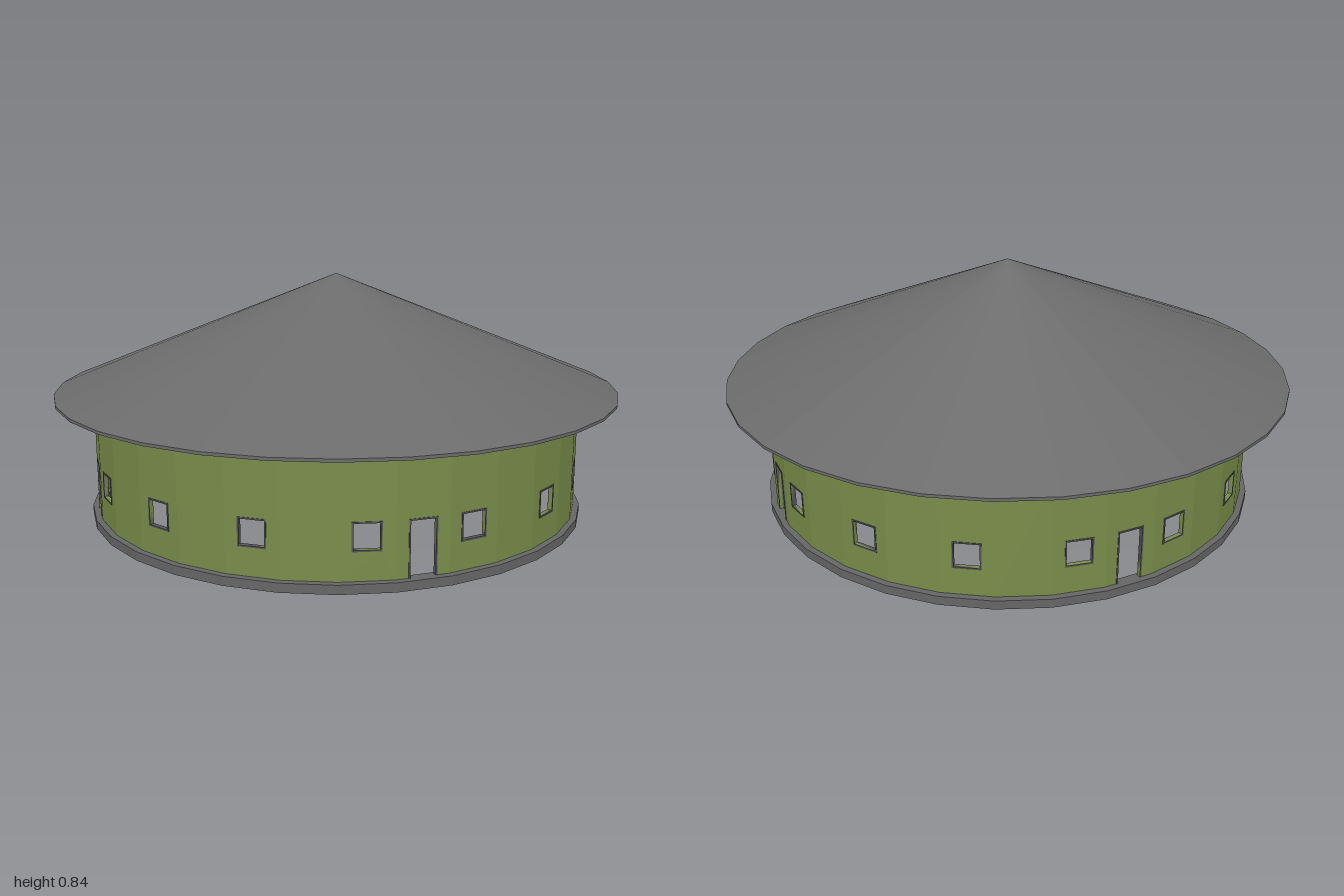
import * as THREE from 'three';

const SIDES = 32;
const STEP = (Math.PI * 2) / SIDES;
const WALL_R = 0.866, WALL_T = 0.012;
const BASE_TOP = 0.03, EAVE = 0.43;
const OPEN_W = 0.08, OPEN_TOP = 0.207, SILL = 0.126;

const mat = (color) => new THREE.MeshStandardMaterial({ color, flatShading: true });

function addMesh(parent, name, geometry, material) {
  const mesh = new THREE.Mesh(geometry, material);
  mesh.name = name;
  parent.add(mesh);
  return mesh;
}

function rect(w, y0, y1) {
  return [[-w / 2, y0], [w / 2, y0], [w / 2, y1], [-w / 2, y1]].map(([x, y]) => new THREE.Vector2(x, y));
}

// Faceted ring or cone turned from a profile of [radius, height]
function turned(profile) {
  return new THREE.LatheGeometry(profile.map(([r, y]) => new THREE.Vector2(r, y)), SIDES);
}

// Flat piece with an optional opening, extruded along z
function plate(outline, hole, depth) {
  const shape = new THREE.Shape(outline);
  if (hole) shape.holes.push(new THREE.Path(hole));
  return new THREE.ExtrudeGeometry(shape, { depth, bevelEnabled: false });
}

// Upside-down U for a door: outer size around inner size
function portal(wOut, top, wIn, topIn, y0) {
  const o = wOut / 2, i = wIn / 2;
  return [[-o, y0], [-i, y0], [-i, topIn], [i, topIn], [i, y0], [o, y0], [o, top], [-o, top]]
    .map(([x, y]) => new THREE.Vector2(x, y));
}

export function createModel() {
  const model = new THREE.Group();
  model.name = 'roundHouse';
  const roofMat = mat(0x6b6b6b), baseMat = mat(0x666666);
  const wallMat = mat(0x7a8c4a), frameMat = mat(0x55555a);

  // Conical roof with flat eave and hollow inside
  addMesh(model, 'roof', turned([
    [0.858, EAVE], [1, EAVE], [1, 0.44], [0, 0.84], [0, 0.78], [0.858, EAVE],
  ]), roofMat);

  // Base ring under the wall
  addMesh(model, 'baseRing', turned([
    [0.845, 0], [0.887, 0], [0.887, BASE_TOP], [0.845, BASE_TOP], [0.845, 0],
  ]), baseMat);

  // Low round platform in the middle
  const platform = addMesh(model, 'centrePlatform',
    new THREE.CylinderGeometry(0.404, 0.404, 0.01, 64), mat(0x999999));
  platform.position.y = 0.049;

  // Wall panel kinds
  const panelW = 2 * WALL_R * Math.sin(STEP / 2);
  const apothem = WALL_R * Math.cos(STEP / 2);
  const y0 = BASE_TOP - 0.005;
  const panels = {
    plain: plate(rect(panelW, y0, EAVE), null, WALL_T),
    window: plate(rect(panelW, y0, EAVE), rect(OPEN_W, SILL, OPEN_TOP), WALL_T),
    door: plate(portal(panelW, EAVE, OPEN_W, OPEN_TOP, y0), null, WALL_T),
  };
  const t = 0.005, frameD = WALL_T + 0.004;
  const frames = {
    window: plate(rect(OPEN_W + 2 * t, SILL - t, OPEN_TOP + t), rect(OPEN_W, SILL, OPEN_TOP), frameD),
    door: plate(portal(OPEN_W + 2 * t, OPEN_TOP + t, OPEN_W, OPEN_TOP, BASE_TOP), null, frameD),
  };

  // A window in every second panel, a door in every eighth
  const wall = new THREE.Group();
  wall.name = 'wall';
  model.add(wall);
  for (let i = 0; i < SIDES; i++) {
    const kind = i % 2 === 1 ? 'window' : i % 8 === 4 ? 'door' : 'plain';
    const bay = new THREE.Group();
    bay.name = kind + 'Bay';
    bay.rotation.y = (i + 0.5) * STEP;
    wall.add(bay);
    addMesh(bay, 'wallPanel', panels[kind], wallMat).position.z = apothem - WALL_T;
    if (frames[kind]) {
      addMesh(bay, kind + 'Frame', frames[kind], frameMat).position.z = apothem - WALL_T - 0.002;
    }
  }
  return model;
}
